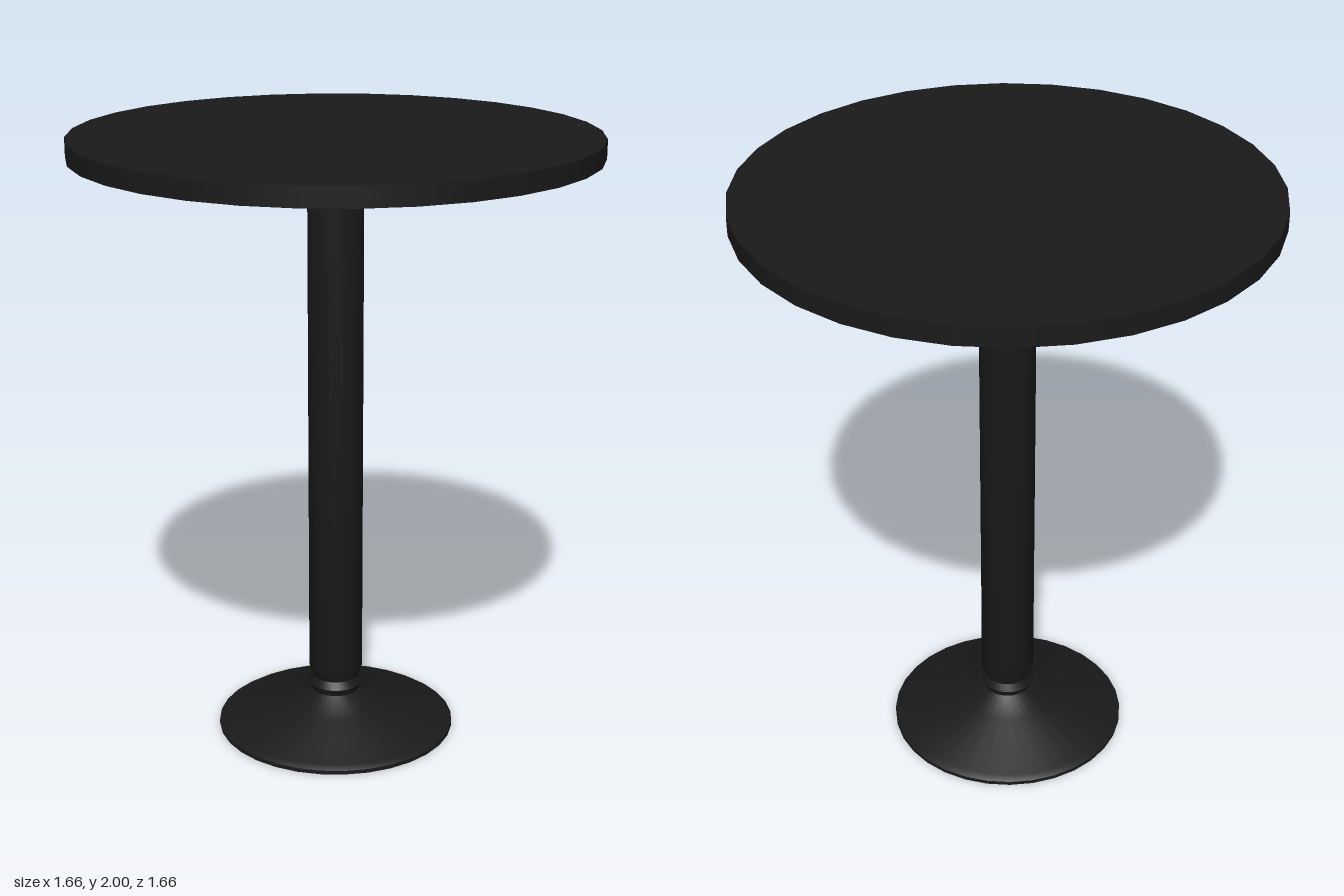
import * as THREE from 'three';
import { toCreasedNormals } from 'three/addons/utils/BufferGeometryUtils.js';

const SIDES = 32;
const material = new THREE.MeshStandardMaterial({ color: 0x1a1a1a });

// Turned part from [radius, height] pairs, listed bottom to top
function turned(name, profile) {
  const points = profile.map(([r, y]) => new THREE.Vector2(r, y));
  const geometry = toCreasedNormals(new THREE.LatheGeometry(points, SIDES), 0.5);
  const mesh = new THREE.Mesh(geometry, material);
  mesh.name = name;
  return mesh;
}

export function createModel() {
  const group = new THREE.Group();
  group.name = 'pedestalTable';

  // Flared foot with a thin rim
  group.add(turned('base', [
    [0, 0], [0.394, 0], [0.394, 0.013], [0.375, 0.025], [0.148, 0.067], [0.07, 0.12],
  ]));

  // Ring between foot and column
  group.add(turned('collar', [
    [0.07, 0.12], [0.078, 0.123], [0.088, 0.147], [0.075, 0.172],
  ]));

  // Straight column, tapered at its lower end
  group.add(turned('column', [
    [0.075, 0.172], [0.089, 0.21], [0.089, 1.94],
  ]));

  // Round table top
  const top = new THREE.Mesh(new THREE.CylinderGeometry(0.83, 0.83, 0.062, SIDES), material);
  top.name = 'tableTop';
  top.position.y = 1.969;
  group.add(top);

  return group;
}
